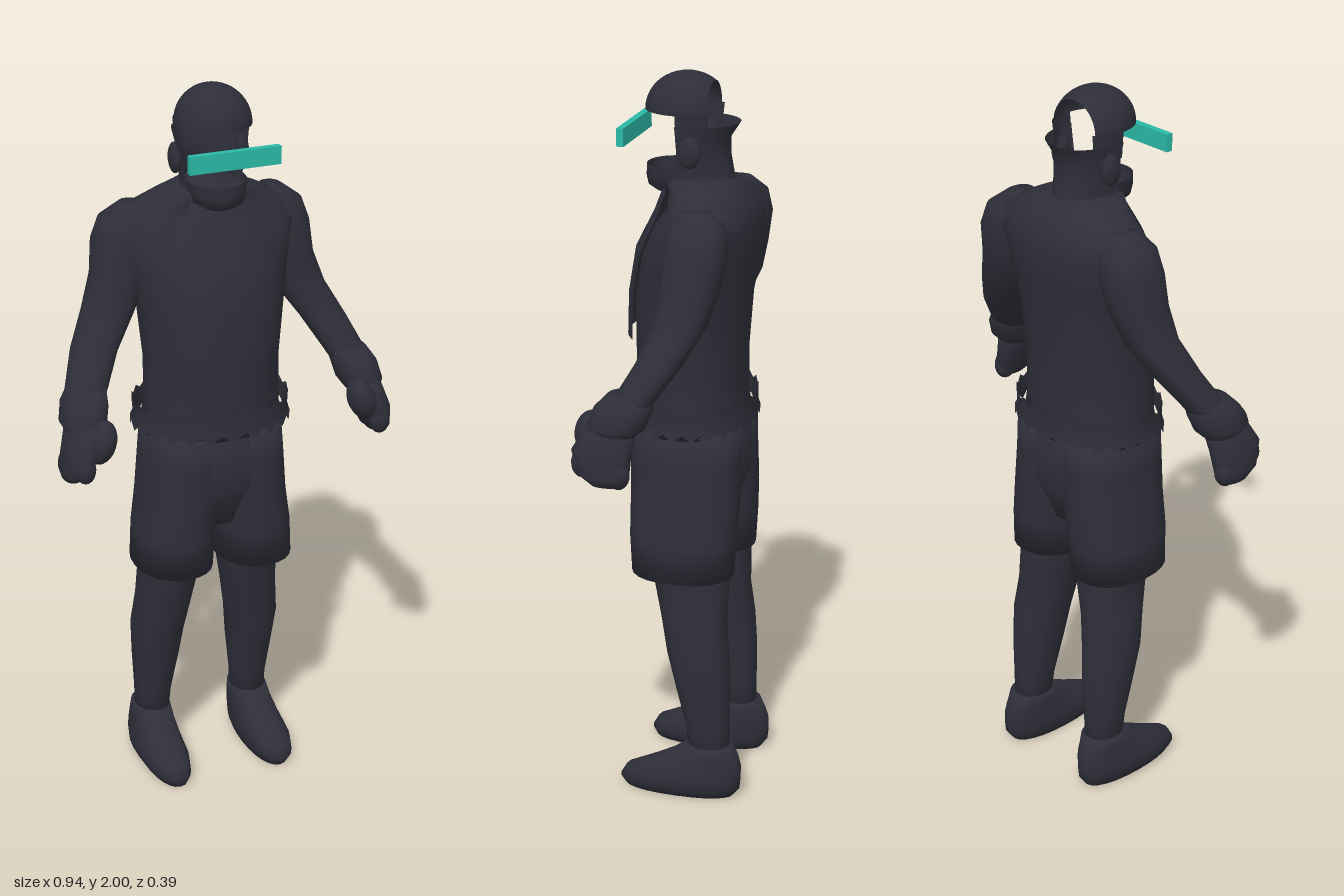
import * as THREE from 'three';

const dark = new THREE.MeshStandardMaterial({ color: 0x2d2e38, side: THREE.DoubleSide });
dark.name = 'charcoal';
const teal = new THREE.MeshStandardMaterial({ color: 0x2bb8a6 });
teal.name = 'teal';

const spow = (v, p) => Math.sign(v) * Math.abs(v) ** p;

// Skin over horizontal oval sections [x, y, z, rx, rz], bottom to top.
// An arc (from, to) leaves the shell open; angle 0 is +x and PI/2 is the front.
function loft(sections, { from = 0, to = Math.PI * 2, seg = 24, power = 0.9, cap = true } = {}) {
  const pos = [], idx = [];
  const closed = to - from > 6.28;
  const cols = closed ? seg : seg + 1;
  for (const [x, y, z, rx, rz] of sections)
    for (let j = 0; j < cols; j++) {
      const a = from + (to - from) * j / seg;
      pos.push(x + rx * spow(Math.cos(a), power), y, z + rz * spow(Math.sin(a), power));
    }
  for (let i = 0; i < sections.length - 1; i++)
    for (let j = 0; j < seg; j++) {
      const a = i * cols + j, b = i * cols + (j + 1) % cols;
      idx.push(a, a + cols, b, b, a + cols, b + cols);
    }
  if (closed && cap)
    [0, sections.length - 1].forEach((row) => {
      const c = pos.length / 3, [x, y, z] = sections[row];
      pos.push(x, y, z);
      for (let j = 0; j < cols; j++) {
        const a = row * cols + j, b = row * cols + (j + 1) % cols;
        row ? idx.push(c, b, a) : idx.push(c, a, b);
      }
    });
  const g = new THREE.BufferGeometry();
  g.setAttribute('position', new THREE.Float32BufferAttribute(pos, 3));
  g.setIndex(idx);
  g.computeVertexNormals();
  return g;
}

const centred = (rows) => rows.map(([y, rx, z, rz]) => [0, y, z, rx, rz]);

export function createModel() {
  const model = new THREE.Group();
  const add = (name, geometry, material = dark) => {
    const m = new THREE.Mesh(geometry, material);
    m.name = name;
    model.add(m);
    return m;
  };
  const blob = (name, p, r) => {
    const m = add(name, new THREE.SphereGeometry(1, 18, 12));
    m.position.set(...p);
    m.scale.set(...r);
    return m;
  };

  // Torso and sloping shoulders
  add('jacket', loft(centred([
    [1.05, 0.195, -0.02, 0.15], [1.13, 0.185, -0.015, 0.145], [1.25, 0.185, -0.015, 0.145],
    [1.4, 0.2, -0.02, 0.15], [1.52, 0.22, -0.04, 0.15], [1.6, 0.245, -0.06, 0.135],
    [1.66, 0.225, -0.075, 0.11], [1.7, 0.15, -0.055, 0.095], [1.73, 0.085, -0.03, 0.09],
  ]), { seg: 32 }));

  // Loose shirt front standing off the chest
  add('shirtFront', loft(centred([
    [1.3, 0.19, -0.02, 0.175], [1.42, 0.2, -0.02, 0.17], [1.54, 0.2, -0.04, 0.17],
    [1.64, 0.18, -0.06, 0.14], [1.7, 0.11, -0.04, 0.1],
  ]), { from: 0.85, to: Math.PI - 0.85, seg: 12 }));

  // Ragged hem round the hips
  const hem = loft(centred([[1.055, 0.22, -0.02, 0.17], [1.09, 0.212, -0.02, 0.165], [1.125, 0.215, -0.02, 0.165]]),
    { seg: 48, cap: false });
  const hp = hem.attributes.position;
  for (let i = 0; i < hp.count; i++)
    if (i % 2 && (i < 48 || i >= 96)) hp.setY(i, hp.getY(i) + (i < 48 ? 0.02 : 0.014));
  hem.computeVertexNormals();
  add('hem', hem);

  // Seat of the shorts
  add('shortsSeat', loft(centred([
    [0.78, 0.17, -0.02, 0.1], [0.9, 0.2, -0.02, 0.148], [1.07, 0.188, -0.02, 0.15],
  ])));

  // Head: back shell open at the face, chin, and a cap open at the back
  add('headBack', loft(centred([
    [1.68, 0.085, 0, 0.14], [1.73, 0.078, 0, 0.125], [1.78, 0.083, 0, 0.115],
    [1.83, 0.09, 0, 0.113], [1.872, 0.098, 0, 0.14],
  ]), { from: Math.PI - 0.05, to: Math.PI * 2 + 0.05 }));
  add('chin', loft(centred([
    [1.685, 0.045, 0.03, 0.055], [1.7, 0.068, 0.02, 0.085], [1.725, 0.077, 0.01, 0.1], [1.755, 0.08, 0.01, 0.098],
  ]), { from: -0.3, to: Math.PI + 0.3 }));
  const cap = new THREE.SphereGeometry(1, 28, 18, Math.PI, Math.PI, 0, 2.25);
  cap.rotateX(Math.PI / 2);
  cap.scale(0.1, 0.1, 0.112);
  add('cap', cap).position.y = 1.9;

  // Visor bar
  add('visor', new THREE.BoxGeometry(0.25, 0.048, 0.019), teal).position.set(0, 1.841, 0.147);

  for (const s of [1, -1]) {
    const side = s > 0 ? 'left' : 'right';
    const limb = (name, rows, opt) =>
      add(side + name, loft(rows.map(([x, ...rest]) => [x * s, ...rest]), opt));

    // Temple and ear
    const a = s > 0 ? -0.75 : Math.PI - 0.05;
    limb('Temple', [[0, 1.83, 0, 0.095, 0.1], [0, 1.905, 0, 0.1, 0.11]], { from: a, to: a + 0.8, seg: 8 });
    blob(side + 'Ear', [0.094 * s, 1.805, -0.03], [0.016, 0.042, 0.03]);

    // Sleeve
    limb('Arm', [
      [0.395, 1.18, 0.055, 0.052, 0.052], [0.37, 1.23, 0.03, 0.056, 0.056], [0.33, 1.31, -0.02, 0.062, 0.062],
      [0.275, 1.4, -0.06, 0.07, 0.07], [0.24, 1.49, -0.075, 0.074, 0.08], [0.225, 1.58, -0.085, 0.08, 0.085],
      [0.215, 1.64, -0.085, 0.068, 0.075], [0.2, 1.68, -0.08, 0.03, 0.04],
    ]);

    // Padded glove: cuff, palm, fingers and thumb
    limb('Cuff', [
      [0.4, 1.13, 0.085, 0.045, 0.06], [0.398, 1.155, 0.075, 0.06, 0.076],
      [0.388, 1.2, 0.06, 0.06, 0.078], [0.376, 1.235, 0.045, 0.05, 0.06],
    ]);
    limb('Palm', [
      [0.44, 1.005, 0.09, 0.022, 0.04], [0.434, 1.03, 0.1, 0.036, 0.068],
      [0.418, 1.09, 0.11, 0.045, 0.08], [0.4, 1.16, 0.085, 0.045, 0.065],
    ]);
    for (let i = 0; i < 3; i++)
      blob(side + 'Finger', [(0.435 - i * 0.006) * s, 1.035 + i * 0.01, 0.06 + i * 0.05], [0.028, 0.04, 0.03]);
    blob(side + 'Thumb', [0.373 * s, 1.12, 0.15], [0.038, 0.06, 0.046]).rotation.z = 0.3 * s;

    // Shorts leg, lower leg and shoe
    limb('ShortsLeg', [
      [0.117, 0.648, -0.02, 0.108, 0.14], [0.112, 0.75, -0.02, 0.107, 0.147],
      [0.1, 0.85, -0.022, 0.105, 0.15], [0.09, 0.97, -0.02, 0.106, 0.15], [0.088, 1.06, -0.02, 0.1, 0.15],
    ]);
    limb('Leg', [
      [0.148, 0.12, -0.105, 0.046, 0.055], [0.147, 0.2, -0.1, 0.05, 0.06], [0.144, 0.32, -0.085, 0.063, 0.076],
      [0.142, 0.42, -0.07, 0.072, 0.085], [0.128, 0.52, -0.055, 0.075, 0.09], [0.116, 0.62, -0.045, 0.08, 0.103],
      [0.112, 0.72, -0.03, 0.085, 0.11],
    ]);
    limb('Shoe', [
      [0.153, 0, -0.02, 0.052, 0.155], [0.156, 0.025, -0.022, 0.064, 0.172], [0.156, 0.055, -0.032, 0.066, 0.165],
      [0.154, 0.085, -0.065, 0.06, 0.132], [0.152, 0.115, -0.092, 0.056, 0.096], [0.15, 0.15, -0.108, 0.053, 0.064],
    ]);
  }
  return model;
}
